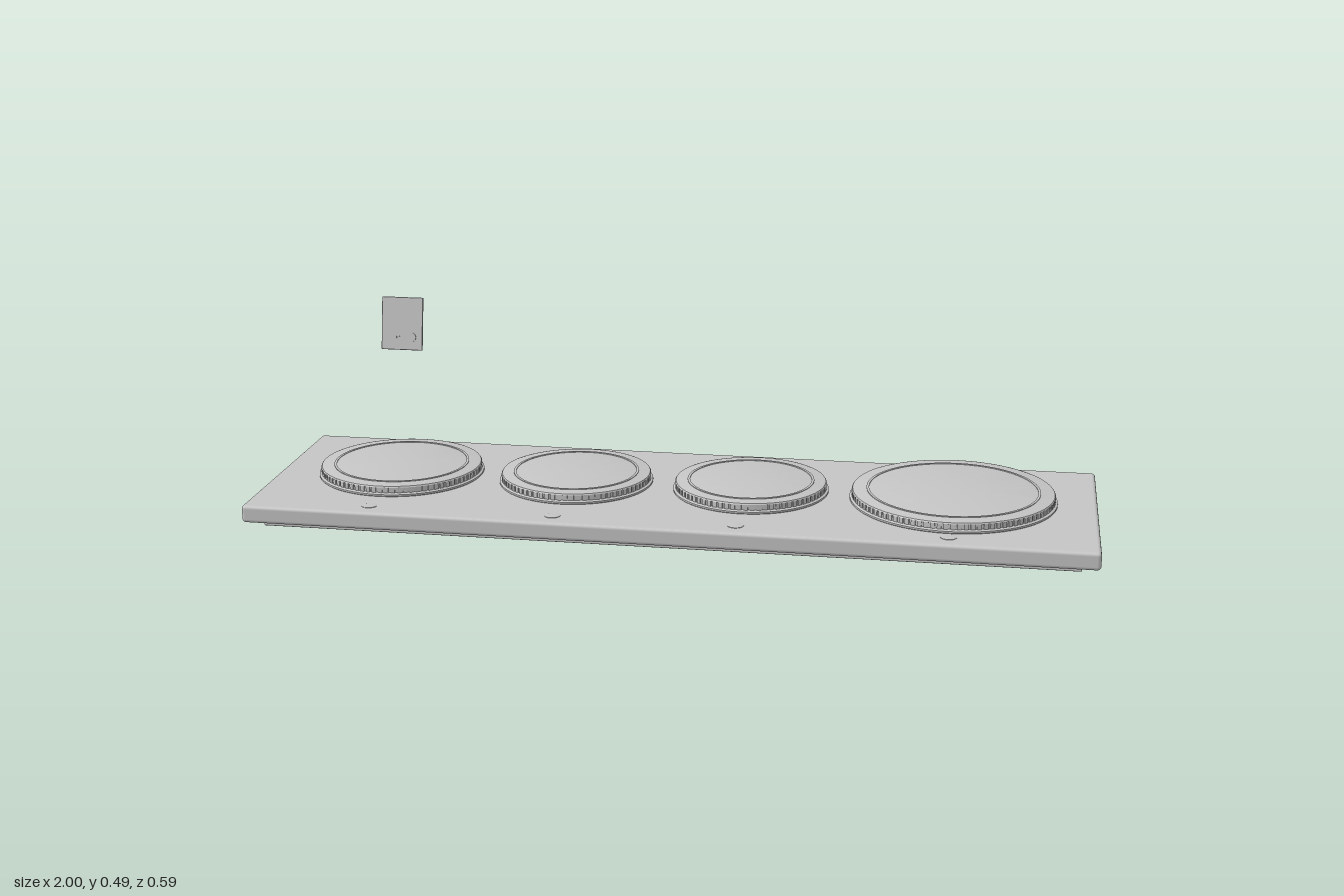
import * as THREE from 'three';
import { RoundedBoxGeometry } from 'three/addons/geometries/RoundedBoxGeometry.js';
import { toCreasedNormals } from 'three/addons/utils/BufferGeometryUtils.js';

export function createModel() {
  const group = new THREE.Group();
  const grey = new THREE.MeshStandardMaterial({ color: 0xc4c4c4 });
  grey.name = 'light grey';

  const add = (name, geometry, x = 0, y = 0, z = 0, parent = group) => {
    const mesh = new THREE.Mesh(geometry, grey);
    mesh.name = name;
    mesh.position.set(x, y, z);
    parent.add(mesh);
    return mesh;
  };
  const lathe = (points, segments) => toCreasedNormals(
    new THREE.LatheGeometry(points.map(p => new THREE.Vector2(...p)), segments), 0.5);

  // Slab and the recessed foot below it
  add('slab', new RoundedBoxGeometry(2, 0.043, 0.59, 4, 0.009), 0, 0.04, 0);
  add('foot', new RoundedBoxGeometry(1.92, 0.02, 0.508, 2, 0.003), 0, 0.01, 0);

  // Four round plates: centre x, outer radius, radius of the raised inner ring
  const plates = [[-0.7, 0.203, 0.166], [-0.257, 0.188, 0.153], [0.174, 0.188, 0.153], [0.66, 0.246, 0.206]];
  for (const [x, r, inner] of plates) {
    const plate = new THREE.Group();
    plate.name = 'roundPlate';
    plate.position.set(x, 0.061, -0.026);
    group.add(plate);

    // Flange, waist and bevelled top
    add('plateBody', lathe([
      [r - 0.002, 0], [r, 0.002], [r, 0.006], [r - 0.004, 0.008], [r - 0.008, 0.009],
      [r - 0.008, 0.021], [r - 0.005, 0.022], [r - 0.007, 0.025], [r - 0.013, 0.0265], [0, 0.0265],
    ], 96), 0, 0, 0, plate);

    // Knurled grip around the edge
    const count = Math.round(r * 400);
    const ridge = new THREE.BoxGeometry(0.006, 0.013, r * Math.PI * 2 / count * 0.65);
    const ridges = new THREE.InstancedMesh(ridge, grey, count);
    ridges.name = 'gripRidges';
    const matrix = new THREE.Matrix4();
    for (let i = 0; i < count; i++) {
      const a = i / count * Math.PI * 2;
      matrix.makeRotationY(-a).setPosition(Math.cos(a) * (r - 0.008), 0.0155, Math.sin(a) * (r - 0.008));
      ridges.setMatrixAt(i, matrix);
    }
    plate.add(ridges);

    // Thin raised ring on the top
    add('innerRing', lathe([
      [inner, 0.026], [inner, 0.028], [inner - 0.006, 0.028], [inner - 0.006, 0.026],
    ], 96), 0, 0, 0, plate);

    // Touch button in front of the plate
    add('button', lathe([[0.019, 0], [0.019, 0.0015], [0.015, 0.002], [0, 0.002]], 32), x, 0.061, 0.243);
  }

  // Tilted card floating above the first plate
  const card = new THREE.Group();
  card.name = 'card';
  card.position.set(-0.7, 0.428, -0.073);
  card.rotation.x = -0.175;
  group.add(card);
  add('cardPanel', new RoundedBoxGeometry(0.104, 0.13, 0.006, 2, 0.002), 0, 0, 0, card);
  const dial = add('cardDial', new THREE.CylinderGeometry(0.011, 0.011, 0.003, 24), 0.025, -0.033, 0.004, card);
  dial.rotation.x = Math.PI / 2;
  for (const x of [-0.017, -0.004]) {
    add('cardMark', new THREE.BoxGeometry(0.008, 0.005, 0.002), x, -0.034, 0.0035, card);
  }

  return group;
}
